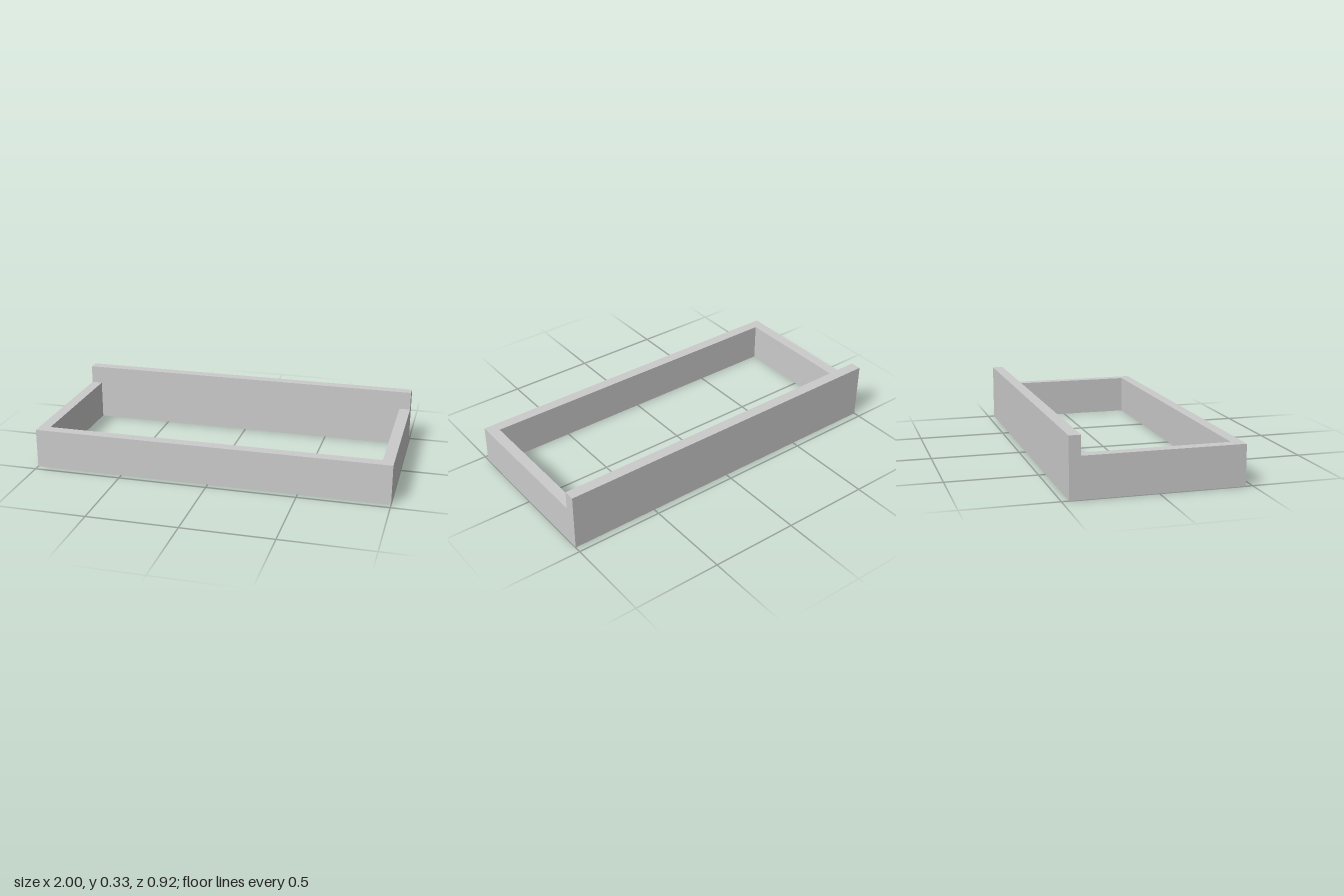
import * as THREE from 'three';

const HALF_W = 1, HALF_D = 0.462, WALL = 0.062;
const LOW = 0.222, HIGH = 0.326;

export function createModel() {
  const group = new THREE.Group();
  group.name = 'openFrame';
  const material = new THREE.MeshStandardMaterial({ color: 0xcccccc, flatShading: true });

  // U-shaped low wall: front and both sides, outlined in plan (shape y = -z)
  const back = HALF_D - WALL, inner = HALF_W - WALL;
  const plan = new THREE.Shape([
    [-HALF_W, -HALF_D], [HALF_W, -HALF_D], [HALF_W, back], [inner, back],
    [inner, -back], [-inner, -back], [-inner, back], [-HALF_W, back],
  ].map(([x, y]) => new THREE.Vector2(x, y)));
  const wallGeometry = new THREE.ExtrudeGeometry(plan, { depth: LOW, bevelEnabled: false });
  wallGeometry.rotateX(-Math.PI / 2);
  const walls = new THREE.Mesh(wallGeometry, material);
  walls.name = 'frontAndSideWalls';
  group.add(walls);

  // Taller board across the full back
  const board = new THREE.Mesh(new THREE.BoxGeometry(2 * HALF_W, HIGH, WALL), material);
  board.name = 'backBoard';
  board.position.set(0, HIGH / 2, -HALF_D + WALL / 2);
  group.add(board);

  return group;
}
